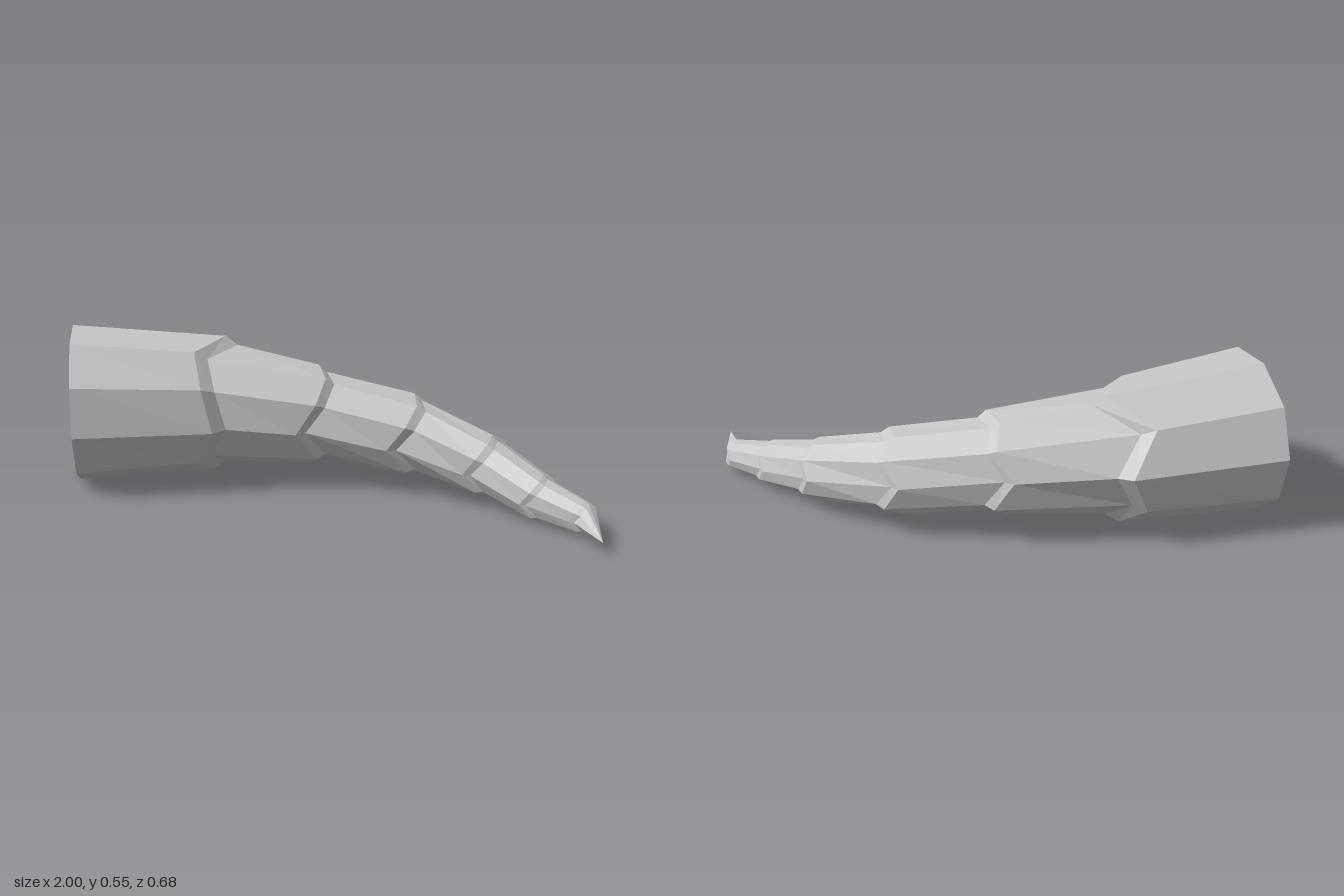
import * as THREE from 'three';

const SIDES = 10;
const UP = new THREE.Vector3(0, 1, 0);

// Uneven lip edges: how far each corner slides along the horn
const FLAT = new Array(SIDES).fill(0);
const BROAD = [0.04, -0.06, -0.03, 0.01, -0.05, 0, 0, -0.06, 0, -0.09];
const ZIGZAG = [-0.01, 0.03, 0.01, -0.05, 0.02, 0, -0.02, 0.03, -0.04, 0.01];

// One ten-sided ring around a centre, facing along dir
function ring(center, dir, radius, slide = FLAT, amount = 1) {
  const d = new THREE.Vector3(...dir).normalize();
  const u = new THREE.Vector3().crossVectors(d, UP).normalize();
  const v = new THREE.Vector3().crossVectors(u, d);
  return slide.map((s, j) => {
    const a = THREE.MathUtils.degToRad(100 - j * 360 / SIDES);
    return new THREE.Vector3(...center)
      .addScaledVector(u, radius * Math.cos(a))
      .addScaledVector(v, radius * Math.sin(a))
      .addScaledVector(d, s * amount);
  });
}

const point = (p) => Array.from({ length: SIDES }, () => new THREE.Vector3(...p));
const along = (c, d, t) => {
  const n = new THREE.Vector3(...d).normalize();
  return [c[0] + n.x * t, c[1] + n.y * t, c[2] + n.z * t];
};

// Skin between successive rings
function loft(name, rings, material) {
  const pos = [];
  for (let i = 0; i < rings.length - 1; i++) {
    for (let j = 0; j < SIDES; j++) {
      const k = (j + 1) % SIDES;
      const a = rings[i][j], b = rings[i][k], c = rings[i + 1][k], d = rings[i + 1][j];
      for (const tri of [[a, b, c], [a, c, d]]) {
        // skip collapsed triangles at points
        if (tri[0].equals(tri[1]) || tri[1].equals(tri[2]) || tri[0].equals(tri[2])) continue;
        tri.forEach((p) => pos.push(p.x, p.y, p.z));
      }
    }
  }
  const geo = new THREE.BufferGeometry();
  geo.setAttribute('position', new THREE.Float32BufferAttribute(pos, 3));
  geo.computeVertexNormals();
  const mesh = new THREE.Mesh(geo, material);
  mesh.name = name;
  return mesh;
}

export function createModel() {
  const group = new THREE.Group();
  group.name = 'horn';
  const grey = new THREE.MeshStandardMaterial({ color: 0xc8c8c8, flatShading: true });
  grey.name = 'horn grey';

  // Hollow base: socket floor, socket wall and rim
  const base = [-0.885, 0.277, 0.095];
  const baseDir = [0.905, 0, -0.425];
  const floor = along(base, baseDir, 0.11);
  const outer = ring(base, baseDir, 0.28);
  group.add(loft('socket', [
    point(floor),
    ring(floor, baseDir, 0.18),
    ring(base, baseDir, 0.22),
    outer,
  ], grey));

  // Each segment ends in a raised lip that steps in to the next one
  const lips = [
    { c: [-0.43, 0.268, -0.09], d: [0.94, -0.02, -0.33], r: 0.243, slide: BROAD, amount: 1, step: 0.045 },
    { c: [-0.06, 0.24, -0.168], d: [0.98, -0.06, -0.18], r: 0.178, slide: ZIGZAG, amount: 1, step: 0.03 },
    { c: [0.28, 0.193, -0.19], d: [1, -0.08, 0.02], r: 0.148, slide: ZIGZAG, amount: 0.9, step: 0.03 },
    { c: [0.567, 0.136, -0.128], d: [0.93, -0.1, 0.36], r: 0.108, slide: ZIGZAG, amount: 0.6, step: 0.025 },
    { c: [0.765, 0.082, -0.03], d: [0.9, -0.06, 0.43], r: 0.08, slide: ZIGZAG, amount: 0.5, step: 0.02 },
    { c: [0.915, 0.06, 0.035], d: [0.85, -0.02, 0.5], r: 0.054, slide: ZIGZAG, amount: 0.35, step: 0.02 },
  ];
  let start = outer;
  lips.forEach(({ c, d, r, slide, amount, step }, i) => {
    const lip = ring(c, d, r, slide, amount);
    const shoulder = ring(along(c, d, step), d, r * 0.87, slide, amount);
    group.add(loft(`segment${i + 1}`, [start, lip, shoulder], grey));
    start = shoulder;
  });

  // Pointed tip
  group.add(loft('tip', [start, point([1, 0.053, 0.2])], grey));
  return group;
}
